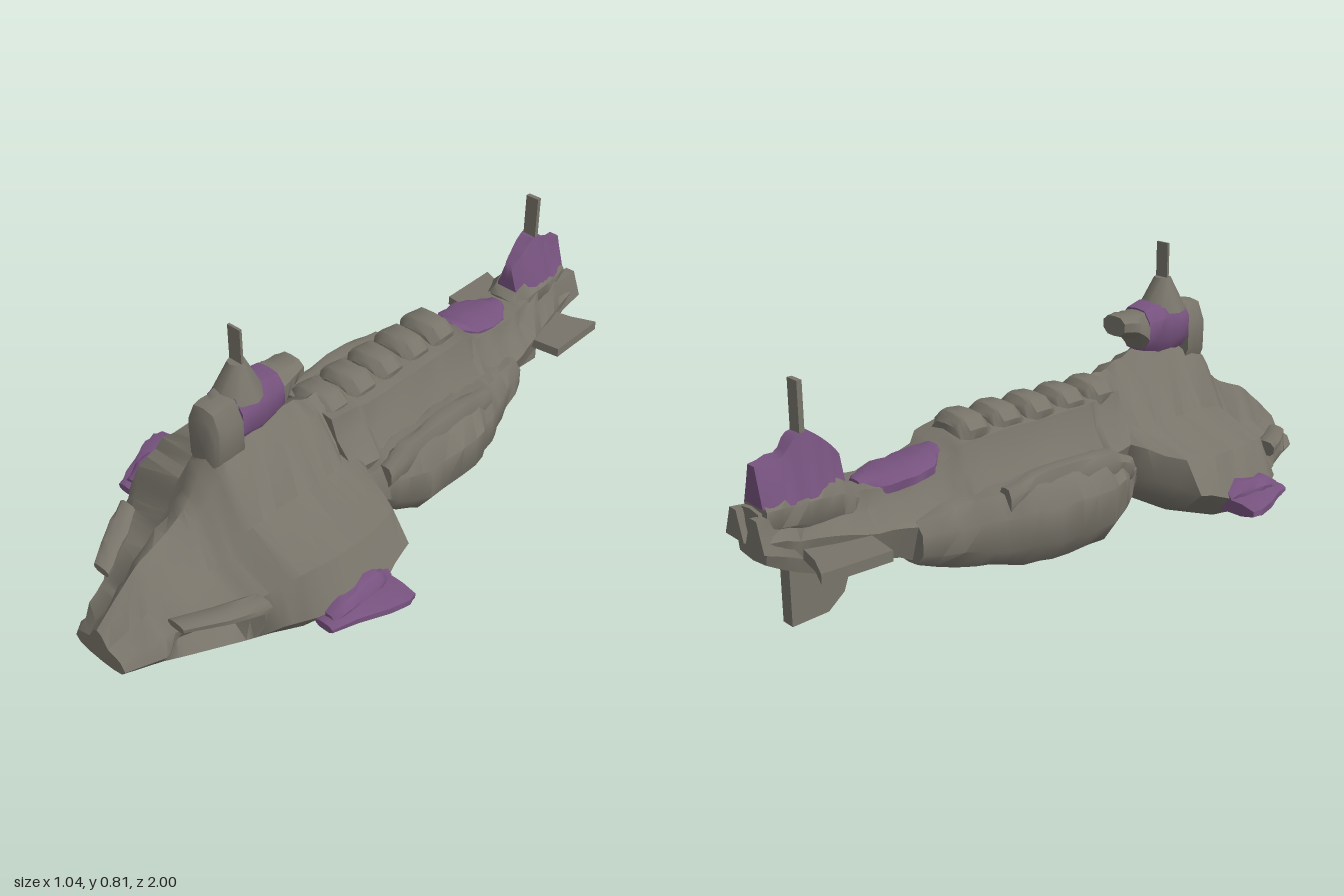
import * as THREE from 'three';
import { toCreasedNormals } from 'three/addons/utils/BufferGeometryUtils.js';

const hull = new THREE.MeshStandardMaterial({ color: 0x78746a });
hull.name = 'stone grey';
const accent = new THREE.MeshStandardMaterial({ color: 0x77537f });
accent.name = 'dull purple';

// Unit half profiles, from top centre to bottom centre
const WEDGE = [[0, 1], [.15, .93], [.38, .6], [.85, .48], [1, .24], [.85, .09], [.5, .02], [0, 0]];
const ROUND = [[0, 1], [.6, .97], [1, .72], [1, .3], [.6, .03], [0, 0]];
const BODY = [[0, 1], [.5, .96], [.62, .75], [1, .5], [.8, .05], [0, 0]];
const RIDGE = [[0, 1], [.35, 1], [.6, .6], [1, 0], [0, 0]];
const CENTRE = -.012;

// Ring scaled to half width w, top t and bottom b; notch draws in the widest point
function makeRing(profile, [z, w, t, b, c = 0, notch = 0]) {
  const half = profile.map(([x, y], j) => [x * w * (j === 4 ? 1 - notch : 1), b + y * (t - b)]);
  const left = half.slice(1, -1).reverse().map(([x, y]) => [-x, y]);
  return [...half, ...left].map(([x, y]) => [c + x, y, z]);
}

// Skin over rows of [z, w, t, b, c, notch], listed front to back, slightly uneven between rows
function loft(profile, rows, rough = .003) {
  const rings = [];
  const wobble = ([x, y, z]) => {
    const d = rough * Math.sin(x * 41 + y * 67 + z * 53);
    return [x + d * Math.sign(x), y + d, z];
  };
  rows.map((row) => makeRing(profile, row)).forEach((ring, i, all) => {
    rings.push(ring);
    if (i === all.length - 1) return;
    for (const t of [1 / 3, 2 / 3]) {
      rings.push(ring.map((p, j) => wobble(p.map((v, k) => v + (all[i + 1][j][k] - v) * t))));
    }
  });
  const n = rings[0].length, pos = rings.flat(2), index = [];
  for (let i = 0; i < rings.length - 1; i++) {
    for (let j = 0; j < n; j++) {
      const a = i * n + j, b = i * n + (j + 1) % n;
      index.push(a, b, a + n, b, b + n, a + n);
    }
  }
  // End caps
  [0, rings.length - 1].forEach((r, back) => {
    const c = pos.length / 3;
    for (let k = 0; k < 3; k++) pos.push(rings[r].reduce((s, p) => s + p[k], 0) / n);
    for (let j = 0; j < n; j++) {
      const a = r * n + j, b = r * n + (j + 1) % n;
      index.push(c, back ? a : b, back ? b : a);
    }
  });
  const g = new THREE.BufferGeometry();
  g.setAttribute('position', new THREE.Float32BufferAttribute(pos, 3));
  g.setIndex(index);
  return toCreasedNormals(g, .75);
}

// Flat plate cut from an outline
function plate(points, depth) {
  const shape = new THREE.Shape(points.map(([x, y]) => new THREE.Vector2(x, y)));
  return new THREE.ExtrudeGeometry(shape, { depth, bevelEnabled: false });
}

export function createModel() {
  const model = new THREE.Group();
  const add = (name, geometry, material = hull) => {
    const m = new THREE.Mesh(geometry, material);
    m.name = name;
    model.add(m);
    return m;
  };
  // Lofted part shifted sideways by c
  const part = (name, profile, rows, c = 0, material = hull) =>
    add(name, loft(profile, rows), material).position.x = c;

  // Wedge-shaped prow with sunken side sockets
  add('prow', loft(WEDGE, [
    [1, .1, .15, .035], [.9, .15, .235, .025], [.84, .19, .28, .02, 0, .35], [.7, .28, .34, .015, 0, .35],
    [.64, .32, .4, .015], [.57, .38, .5, .015], [.45, .42, .53, .015], [.33, .42, .5, .03],
    [.23, .4, .46, .08], [.16, .2, .45, .13],
  ], .006));

  // Long hull
  add('hull', loft(BODY, [
    [.2, .17, .43, .13], [.1, .18, .42, .12], [.06, .2, .42, .04], [-.2, .2, .42, .04], [-.38, .19, .41, .05],
    [-.46, .17, .36, .06], [-.62, .15, .335, .13], [-.72, .125, .34, .13], [-.85, .1, .37, .14], [-.98, .08, .34, .2],
  ], .006));

  for (const s of [1, -1]) {
    // Bulging flank pod with a raised rail
    add('sidePod', loft(ROUND, [
      [.17, .06, .24, .15, s * .14], [.09, .1, .28, .08, s * .15], [0, .12, .29, .045, s * .17],
      [-.2, .125, .29, .045, s * .17], [-.32, .11, .28, .055, s * .155], [-.42, .1, .27, .07, s * .125],
      [-.58, .07, .24, .11, s * .1],
    ], .008));
    part('podRail', ROUND, [[.12, .025, .27, .2], [.04, .032, .31, .2], [-.2, .032, .315, .2], [-.34, .025, .29, .2]], s * .215);

    // Purple side fin, its root spreading onto the prow
    part('prowFin', ROUND, [[.57, .03, .125, .1], [.5, .06, .14, .1], [.42, .1, .145, .1],
      [.36, .118, .145, .1], [.33, .11, .14, .1]], s * .4, accent);
    part('prowFinRoot', ROUND, [[.55, .03, .14, .09], [.5, .045, .17, .09], [.38, .05, .185, .095],
      [.33, .035, .16, .1]], s * .39, accent);

    // Lid above the prow socket
    part('socketLid', ROUND, [[.86, .03, .175, .15, s * .15], [.76, .035, .185, .152, s * .215],
      [.66, .035, .2, .155, s * .27]]);

    // Swept tail plane and flared tail tip
    const plane = plate([[.05, .7], [.225, .72], [.225, .93], [.15, .9], [.05, .88]].map(([x, y]) => [s * x, y]), .03);
    add('tailPlane', plane.rotateX(-Math.PI / 2)).position.set(CENTRE, .2, 0);
    part('tailTip', RIDGE, [[-.88, .03, .32, .2], [-1, .045, .33, .25]], s * .05);
  }

  // Segmented spine
  for (let i = 0; i < 5; i++) {
    const z = .2 - i * .118;
    part('spineSegment', ROUND, [[z, .065, .428, .34], [z - .025, .08, .453, .34],
      [z - .085, .08, .453, .34], [z - .108, .065, .428, .34]], CENTRE);
  }

  // Purple oval set in the rear deck
  part('deckPanel', ROUND, [[-.425, .035, .385, .33], [-.48, .08, .367, .315], [-.55, .088, .357, .305],
    [-.62, .075, .348, .295], [-.68, .03, .343, .29]], CENTRE, accent);

  // Front tower: grey face, purple middle, grey rear knob, peak and mast
  part('towerFace', ROUND, [[.59, .045, .57, .42], [.575, .06, .625, .41], [.5, .068, .635, .42]], CENTRE);
  part('towerSides', ROUND, [[.5, .068, .635, .49], [.42, .07, .645, .48], [.34, .06, .63, .5]], CENTRE, accent);
  part('towerKnob', ROUND, [[.345, .06, .625, .5], [.3, .055, .62, .55], [.25, .045, .62, .56]], CENTRE);
  const peak = toCreasedNormals(new THREE.CylinderGeometry(.025, .075, .1, 8), .9);
  add('towerPeak', peak).position.set(CENTRE, .66, .45);
  add('frontMast', new THREE.BoxGeometry(.045, .12, .008)).position.set(CENTRE, .755, .45);

  // Rear tower with purple cap and mast
  part('rearTowerBase', ROUND, [[-.7, .06, .34, .25], [-.76, .075, .385, .25], [-.86, .075, .39, .25],
    [-.97, .055, .375, .27]], CENTRE);
  part('rearTowerCap', RIDGE, [[-.73, .04, .43, .35], [-.77, .06, .475, .35], [-.82, .07, .515, .35],
    [-.86, .07, .51, .35], [-.9, .065, .465, .35], [-.975, .045, .455, .35]], CENTRE, accent);
  add('rearMast', new THREE.BoxGeometry(.045, .16, .015)).position.set(CENTRE, .57, -.84);

  // Keel fin under the tail
  const keel = plate([[.7, .16], [.74, .05], [.79, .008], [.9, 0], [.9, .18]], .045);
  add('keelFin', keel.rotateY(Math.PI / 2)).position.x = CENTRE - .0225;

  // Ribs under the prow
  for (let i = 0; i < 4; i++) {
    add('bellyRib', new THREE.BoxGeometry(.26 - i * .03, .02, .03)).position.set(0, .018, .45 + i * .08);
  }
  return model;
}
